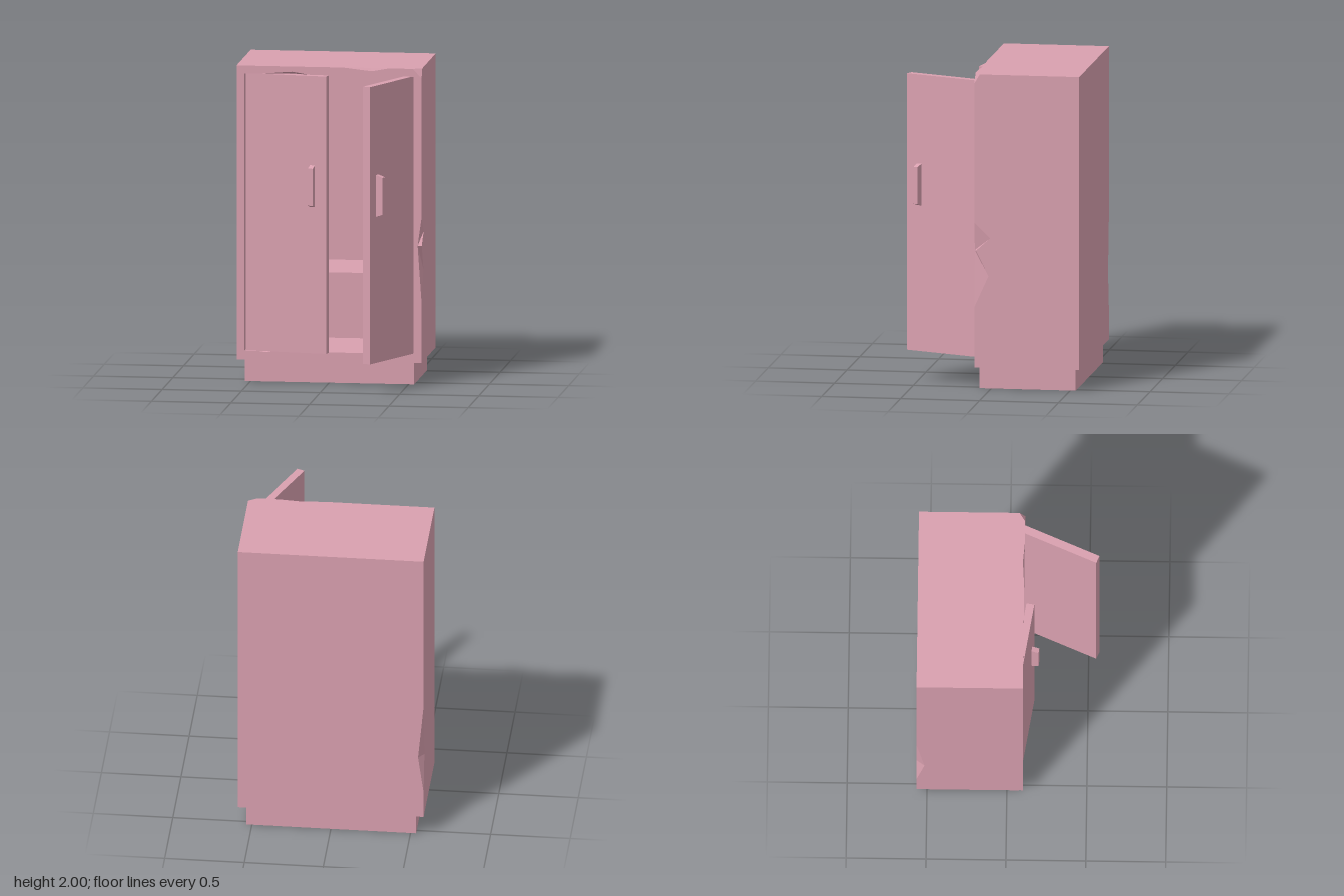
import * as THREE from 'three';
import { mergeGeometries } from 'three/addons/utils/BufferGeometryUtils.js';

const H = Math.PI / 2;
const material = new THREE.MeshStandardMaterial({ color: 0xd9a0af, flatShading: true });

function mesh(name, geometry) {
  const m = new THREE.Mesh(geometry, material);
  m.name = name;
  return m;
}

// Box given by its limits on each axis
function block(name, x0, x1, y0, y1, z0, z1) {
  const g = new THREE.BoxGeometry(x1 - x0, y1 - y0, z1 - z0);
  return mesh(name, g.translate((x0 + x1) / 2, (y0 + y1) / 2, (z0 + z1) / 2));
}

// Flat panel from an outline, turned about x and y, then pushed to its place
function panel(points, rx, ry, offset, hole) {
  const shape = new THREE.Shape(points.map(([u, v]) => new THREE.Vector2(u, v)));
  if (hole) shape.holes.push(new THREE.Path(hole.map(([u, v]) => new THREE.Vector2(u, v))));
  const g = new THREE.ShapeGeometry(shape).rotateX(rx).rotateY(ry).translate(...offset).toNonIndexed();
  g.deleteAttribute('uv');
  return g;
}

// Broken facets; each triangle is wound so that it faces along "out"
function facets(triangles, out) {
  const dir = new THREE.Vector3(...out);
  const points = triangles.flatMap((t) => {
    const [a, b, c] = t.map((p) => new THREE.Vector3(...p));
    const n = b.clone().sub(a).cross(c.clone().sub(a));
    return n.dot(dir) > 0 ? [a, b, c] : [a, c, b];
  });
  const g = new THREE.BufferGeometry().setFromPoints(points);
  g.computeVertexNormals();
  return g;
}

function cabinet() {
  const X = 0.585, Y0 = 0.14, Y1 = 2, Z0 = -0.565, Z1 = 0.1;
  const x = 0.535, y0 = 0.195, y1 = 1.95, zb = -0.515;

  // Outer skin, with notches where the edges are chipped
  const outer = [
    panel([[-X, Y0], [X, Y0], [X, 0.52], [0.56, 0.88], [X, 1.06], [X, 1.94], [0.53, Y1],
      [0.38, Y1], [0.27, 1.98], [0.09, Y1], [-X, Y1]], 0, 0, [0, 0, Z1],
    [[-x, y0], [-0.45, y0], [-0.4, 0.188], [-0.35, y0], [x, y0], [x, y1],
      [-0.12, y1], [-0.23, 1.967], [-0.45, y1], [-x, y1]]),
    panel([[-X, Y0], [X, Y0], [X, 0.32], [0.55, 0.57], [X, 0.94], [X, Y1], [-X, Y1]], 0, Math.PI, [0, 0, Z0]),
    panel([[-Z1, Y0], [-Z0, Y0], [-Z0, Y1], [-0.065, Y1], [-Z1, 1.94], [-Z1, 1.06], [0, 0.96],
      [-0.09, 0.88], [-0.01, 0.72], [-Z1, 0.52]], 0, H, [X, 0, 0]),
    panel([[Z0, Y0], [Z1, Y0], [Z1, Y1], [Z0, Y1], [Z0, 0.94], [Z0 + 0.05, 0.57], [Z0, 0.32]], 0, -H, [-X, 0, 0]),
    panel([[-X, -Z1], [0.09, -Z1], [0.26, -0.09], [0.38, -Z1], [0.53, -Z1], [X, -0.065], [X, -Z0], [-X, -Z0]], -H, 0, [0, Y1, 0]),
    panel([[-X, Z0], [X, Z0], [X, Z1], [-X, Z1]], H, 0, [0, Y0, 0]),
  ];

  // Inner lining
  const inner = [
    panel([[-x, y0], [x, y0], [x, y1], [-x, y1]], 0, 0, [0, 0, zb]),
    panel([[-Z1, y0], [-zb, y0], [-zb, y1], [-Z1, y1]], 0, H, [-x, 0, 0]),
    panel([[zb, y0], [Z1, y0], [Z1, y1], [zb, y1]], 0, -H, [x, 0, 0]),
    panel([[-x, -Z1], [-0.45, -Z1], [-0.4, -0.07], [-0.35, -Z1], [x, -Z1], [x, -zb], [-x, -zb]], -H, 0, [0, y0, 0]),
    panel([[-x, zb], [x, zb], [x, Z1], [-0.12, Z1], [-0.23, 0.06], [-0.45, Z1], [-x, Z1]], H, 0, [0, y1, 0]),
  ];

  // Chips: ends a and b on the edge, p and q on the two neighbouring faces
  const chip = (a, b, p, q, out) => facets([[a, p, q], [b, p, q]], out);
  const p = [0.56, 0.88, Z1];
  const side = [[X, 1.06, Z1], [X, 0.96, 0], [X, 0.88, 0.09], [X, 0.72, 0.01], [X, 0.52, Z1]];
  const chips = [
    chip([0.09, Y1, Z1], [0.38, Y1, Z1], [0.27, 1.98, Z1], [0.26, Y1, 0.09], [0, 1, 1]),
    chip([-X, 0.94, Z0], [-X, 0.32, Z0], [-0.55, 0.57, Z0], [-X, 0.57, Z0 + 0.05], [-1, 0, -1]),
    chip([-0.45, y1, Z1], [-0.12, y1, Z1], [-0.23, 1.967, Z1], [-0.23, y1, 0.06], [0, -1, 1]),
    chip([-0.45, y0, Z1], [-0.35, y0, Z1], [-0.4, 0.188, Z1], [-0.4, y0, 0.07], [0, 1, 1]),
    facets([[[0.53, Y1, Z1], [X, Y1, 0.065], [X, 1.94, Z1]]], [1, 1, 1]),
    facets(side.slice(1).map((s, i) => [side[i], s, p]), [1, 0, 1]),
  ];
  return mesh('cabinet', mergeGeometries([...outer, ...inner, ...chips]));
}

// Door hung at its outer hinge corner; s = 1 for the +x side
function door(name, s, degrees) {
  const group = new THREE.Group();
  group.name = name;
  const w = 0.53;
  group.add(block('doorPanel', s > 0 ? -w : 0, s > 0 ? 0 : w, 0.195, 1.95, -0.05, 0));

  // Handle with sloped ends
  const profile = new THREE.Shape([[0, 1.12], [0.045, 1.135], [0.045, 1.37], [0, 1.385]]
    .map(([d, y]) => new THREE.Vector2(d, y)));
  const handle = new THREE.ExtrudeGeometry(profile, { depth: 0.032, bevelEnabled: false });
  group.add(mesh('handle', handle.rotateY(-H).translate(-s * 0.44 + 0.016, 0, 0)));

  group.position.set(s * w, 0, 0.08);
  group.rotation.y = s * THREE.MathUtils.degToRad(degrees);
  return group;
}

export function createModel() {
  const model = new THREE.Group();
  model.name = 'wardrobe';
  model.add(
    cabinet(),
    block('plinth', -0.535, 0.535, 0, 0.14, -0.535, 0.075),
    block('shelf', -0.535, 0.535, 0.64, 0.69, -0.515, 0.02),
    door('rightDoor', -1, 9.2),
    door('leftDoor', 1, 67),
  );
  return model;
}
